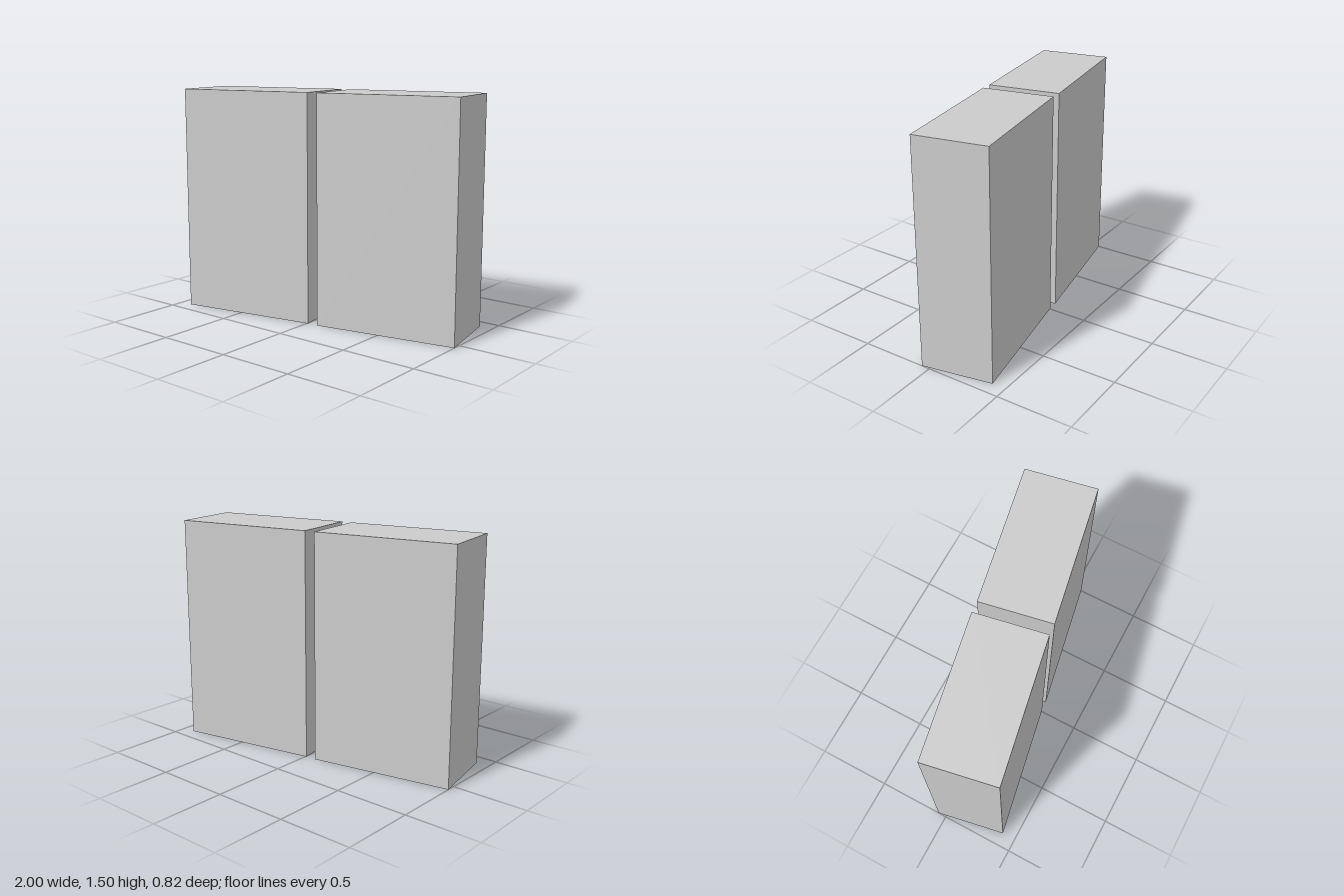
import * as THREE from 'three';

const WIDTH = 0.936, HEIGHT = 1.495, DEPTH = 0.473;

export function createModel() {
  const model = new THREE.Group();
  model.name = 'twinBlocks';
  const material = new THREE.MeshStandardMaterial({ color: 0xcccccc });
  const geometry = new THREE.BoxGeometry(WIDTH, HEIGHT, DEPTH);

  // Two equal upright slabs, turned alike and offset to leave a narrow gap
  for (const side of [1, -1]) {
    const block = new THREE.Mesh(geometry, material);
    block.name = side > 0 ? 'leftBlock' : 'rightBlock';
    block.position.set(side * 0.496, HEIGHT / 2, side * -0.089);
    block.rotation.y = 0.186;
    model.add(block);
  }
  return model;
}
